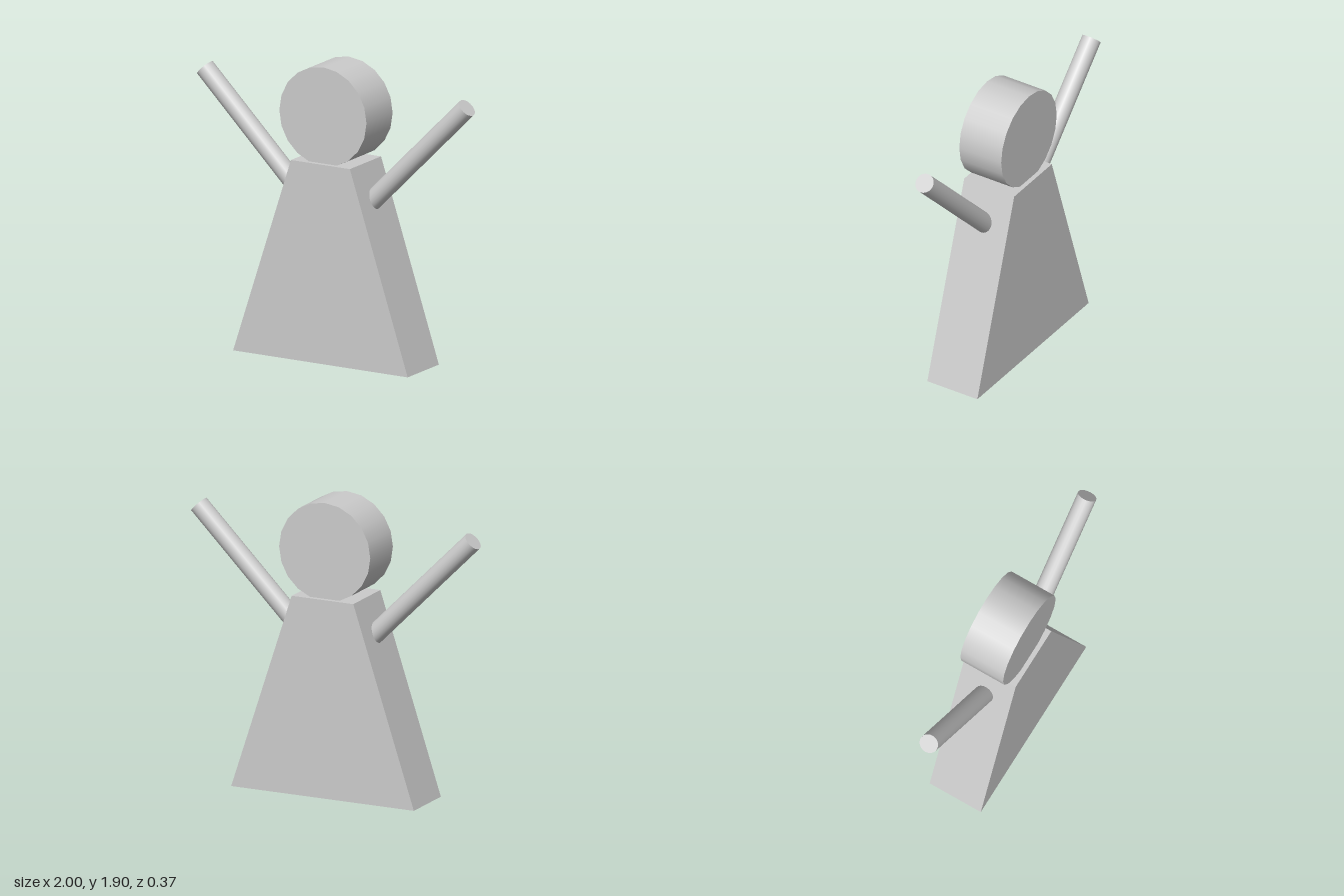
import * as THREE from 'three';

export function createModel() {
  const group = new THREE.Group();
  const material = new THREE.MeshStandardMaterial({ color: 0xcccccc });
  const add = (name, geometry) => {
    const mesh = new THREE.Mesh(geometry, material);
    mesh.name = name;
    group.add(mesh);
    return mesh;
  };

  // Tapered slab body
  const height = 1.28, depth = 0.37;
  const outline = new THREE.Shape([
    new THREE.Vector2(-0.637, 0),
    new THREE.Vector2(0.637, 0),
    new THREE.Vector2(0.215, height),
    new THREE.Vector2(-0.215, height),
  ]);
  const body = new THREE.ExtrudeGeometry(outline, { depth, bevelEnabled: false });
  add('body', body.translate(0, 0, -depth / 2));

  // Disc head facing the front
  const head = new THREE.CylinderGeometry(0.318, 0.318, 0.31, 20);
  add('head', head.rotateX(Math.PI / 2)).position.set(0, 1.58, 0);

  // Raised arms at 45 degrees, rooted inside the body
  const armLength = 1.06;
  for (const side of [1, -1]) {
    const arm = add(side > 0 ? 'leftArm' : 'rightArm',
      new THREE.CylinderGeometry(0.062, 0.062, armLength, 20));
    const offset = (armLength / 2) * Math.SQRT1_2;
    arm.position.set(side * (0.956 - offset), 1.733 - offset, 0);
    arm.rotation.z = -side * Math.PI / 4;
  }

  return group;
}
